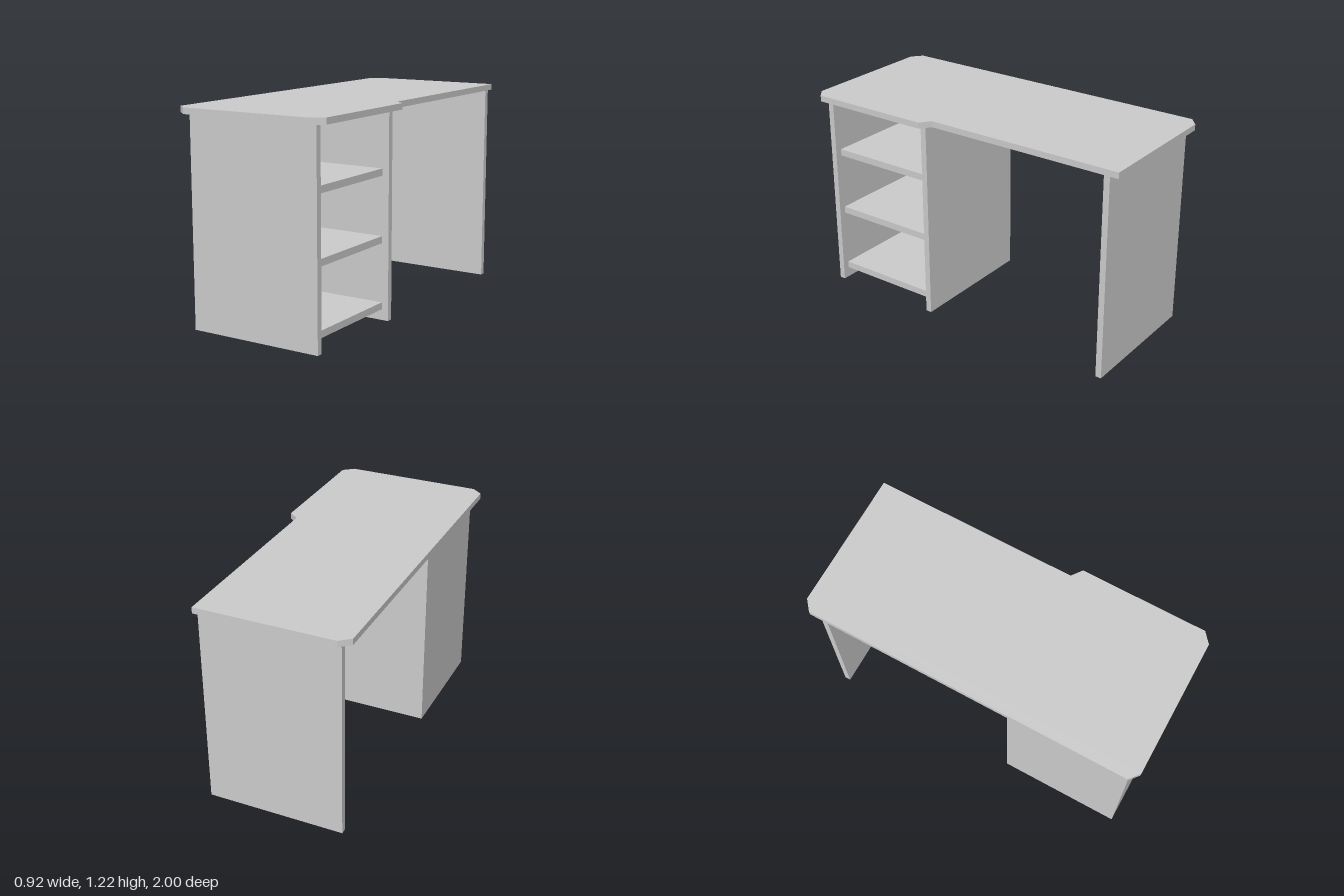
import * as THREE from 'three';

const material = new THREE.MeshStandardMaterial({ color: 0xcccccc, flatShading: true });

// Extrudes an (x, z) floor-plan outline between two heights.
function slab(name, outline, bottom, top) {
  const shape = new THREE.Shape(outline.map(([x, z]) => new THREE.Vector2(x, z)));
  const geometry = new THREE.ExtrudeGeometry(shape, { depth: top - bottom, bevelEnabled: false });
  geometry.rotateX(Math.PI / 2);
  const mesh = new THREE.Mesh(geometry, material);
  mesh.name = name;
  mesh.position.y = top;
  return mesh;
}

// Axis-aligned board from its limits on each axis.
function board(name, [x0, x1], [y0, y1], [z0, z1]) {
  const mesh = new THREE.Mesh(new THREE.BoxGeometry(x1 - x0, y1 - y0, z1 - z0), material);
  mesh.name = name;
  mesh.position.set((x0 + x1) / 2, (y0 + y1) / 2, (z0 + z1) / 2);
  return mesh;
}

export function createModel() {
  const desk = new THREE.Group();
  desk.name = 'desk';
  const under = 1.18;
  const t = 0.035;

  // Desktop with clipped corners and a step beside the knee space
  desk.add(slab('desktop', [
    [-0.4, -1], [0.4, -1], [0.4, 0.175], [0.46, 0.22], [0.46, 0.95],
    [0.4, 1], [-0.4, 1], [-0.46, 0.95], [-0.46, -0.95],
  ], under, 1.215));

  // U-shaped cabinet: two sides and a closed back
  const z0 = 0.222, z1 = 0.95;
  desk.add(slab('cabinetShell', [
    [-0.4, z0], [0.4, z0], [0.4, z0 + t], [-0.4 + t, z0 + t],
    [-0.4 + t, z1 - t], [0.4, z1 - t], [0.4, z1], [-0.4, z1],
  ], 0, under));

  // Shelves, set back from the open side
  [0.062, 0.44, 0.817].forEach((y, i) => {
    desk.add(board(`shelf${i + 1}`, [-0.4 + t, 0.36], [y, y + 0.04], [z0 + t, z1 - t]));
  });

  // Panel leg at the far end
  desk.add(board('panelLeg', [-0.4, 0.4], [0, under], [-0.95, -0.95 + t]));

  return desk;
}
